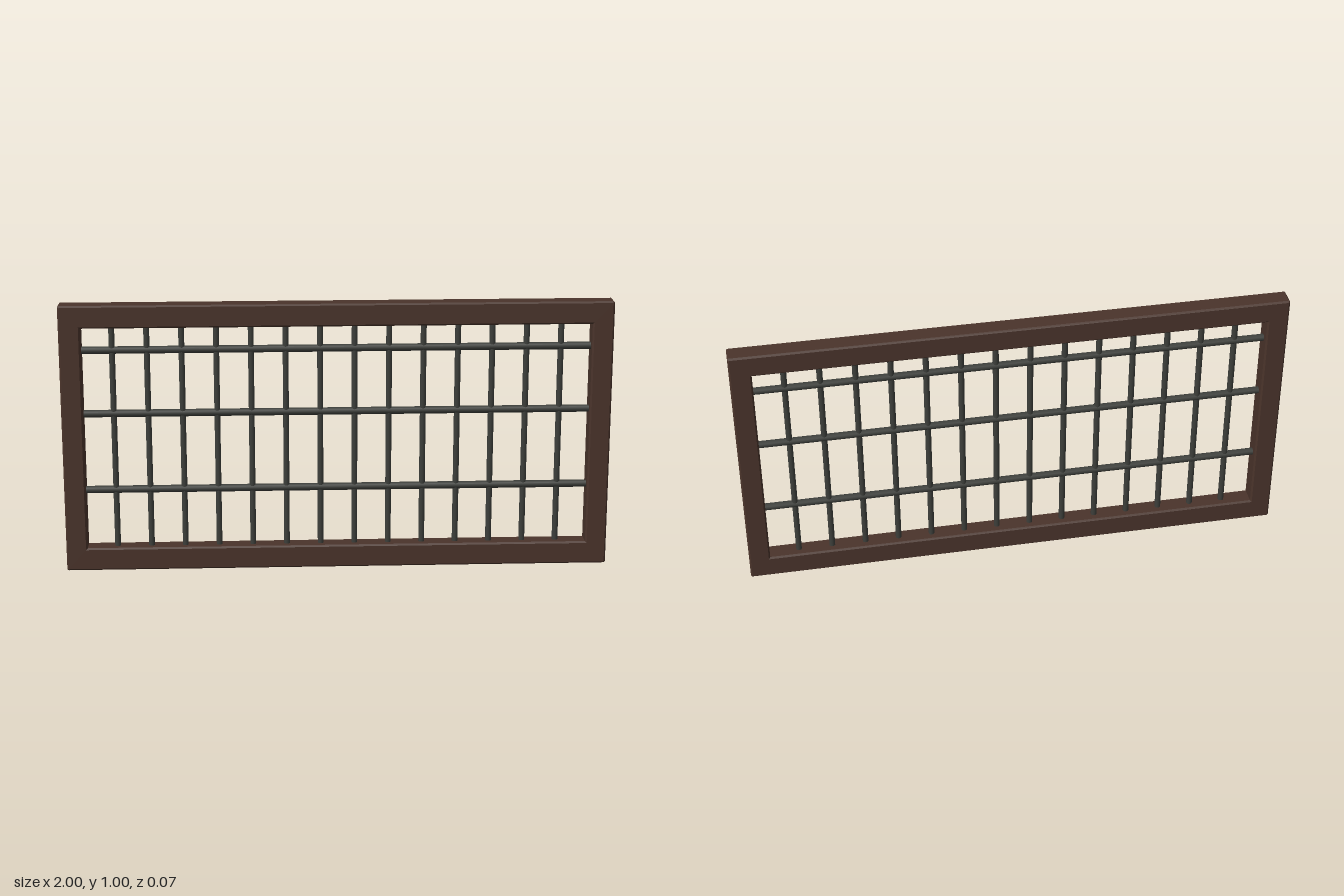
import * as THREE from 'three';

export function createModel() {
  const wood = new THREE.MeshStandardMaterial({ color: 0x4a342b });
  wood.name = 'dark wood';
  const iron = new THREE.MeshStandardMaterial({ color: 0x3d3f3b });
  iron.name = 'dark iron';

  const group = new THREE.Group();
  group.name = 'barredWindow';

  // Wooden frame: bevelled outline with a rectangular opening
  const H = 0.995, halfDepth = 0.036, bevel = 0.006;
  const inner = { x: 0.922, bottom: 0.085, top: 0.912 };
  const c = 0.005; // clipped outer corners
  const outline = new THREE.Shape([
    [-1 + c, 0], [1 - c, 0], [1, c], [1, H - c],
    [1 - c, H], [-1 + c, H], [-1, H - c], [-1, c],
  ].map(([x, y]) => new THREE.Vector2(x, y)));
  outline.holes.push(new THREE.Path([
    [-inner.x, inner.bottom], [-inner.x, inner.top],
    [inner.x, inner.top], [inner.x, inner.bottom],
  ].map(([x, y]) => new THREE.Vector2(x, y))));
  const frameGeometry = new THREE.ExtrudeGeometry(outline, {
    depth: 2 * (halfDepth - bevel),
    bevelEnabled: true,
    bevelThickness: bevel,
    bevelSize: bevel,
    bevelOffset: -bevel,
    bevelSegments: 1,
  });
  frameGeometry.translate(0, 0, -(halfDepth - bevel));
  const frame = new THREE.Mesh(frameGeometry, wood);
  frame.name = 'frame';
  group.add(frame);

  // Upright bars, ends sunk into the frame
  const uprightGeometry = new THREE.CylinderGeometry(0.011, 0.011, inner.top - inner.bottom + 0.04, 10);
  const uprights = 14, spacing = 0.125;
  for (let i = 0; i < uprights; i++) {
    const bar = new THREE.Mesh(uprightGeometry, iron);
    bar.name = `uprightBar${i + 1}`;
    bar.position.set((i - (uprights - 1) / 2) * spacing, (inner.top + inner.bottom) / 2, 0);
    group.add(bar);
  }

  // Thicker cross bars
  const crossGeometry = new THREE.CylinderGeometry(0.0135, 0.0135, 2 * inner.x + 0.04, 10);
  crossGeometry.rotateZ(Math.PI / 2);
  [0.302, 0.59, 0.826].forEach((y, i) => {
    const bar = new THREE.Mesh(crossGeometry, iron);
    bar.name = `crossBar${i + 1}`;
    bar.position.y = y;
    group.add(bar);
  });

  return group;
}
